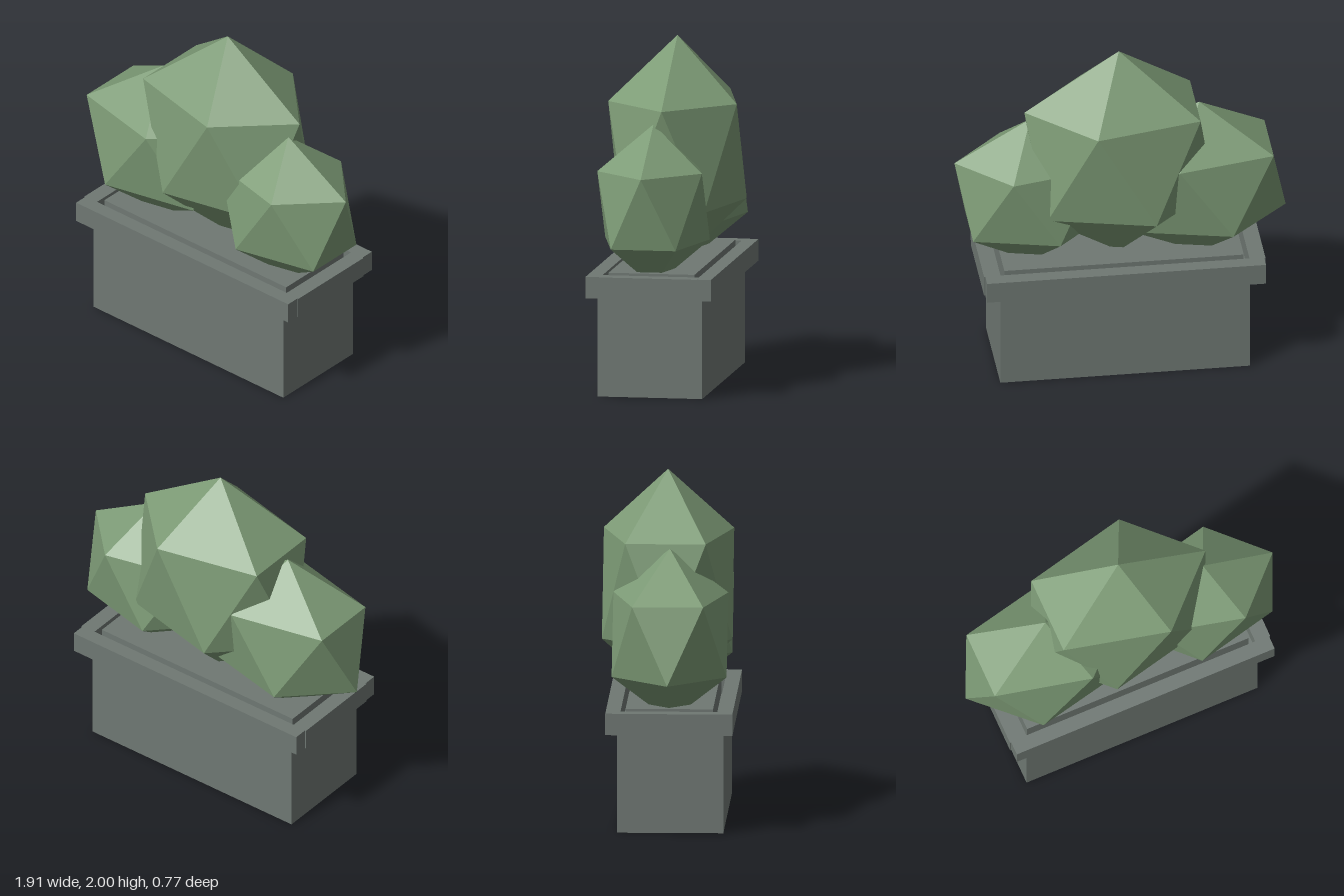
import * as THREE from 'three';

const stone = new THREE.MeshStandardMaterial({ color: 0x6f7873, flatShading: true });
const leaf = new THREE.MeshStandardMaterial({ color: 0x7d9b76, flatShading: true });

// Box given by its limits on each axis
function block(name, [x0, x1], [y0, y1], [z0, z1]) {
  const mesh = new THREE.Mesh(new THREE.BoxGeometry(x1 - x0, y1 - y0, z1 - z0), stone);
  mesh.position.set((x0 + x1) / 2, (y0 + y1) / 2, (z0 + z1) / 2);
  mesh.name = name;
  return mesh;
}

// Stretched icosahedron standing on one corner
function bush(name, centre, radii) {
  const geometry = new THREE.IcosahedronGeometry(1, 0);
  geometry.rotateZ(-Math.atan(2 / (1 + Math.sqrt(5))));
  geometry.scale(...radii);
  geometry.computeVertexNormals();
  const mesh = new THREE.Mesh(geometry, leaf);
  mesh.position.set(...centre);
  mesh.name = name;
  return mesh;
}

export function createModel() {
  const model = new THREE.Group();
  model.name = 'planter';

  // Trough and the soil slab inside the rim
  model.add(block('trough', [-0.715, 0.73], [0, 0.585], [-0.28, 0.33]));
  model.add(block('soil', [-0.685, 0.7], [0.57, 0.715], [-0.23, 0.27]));

  // Rim of four bars, the end bars standing slightly proud
  const rim = new THREE.Group();
  rim.name = 'rim';
  const rimY = [0.58, 0.705];
  rim.add(
    block('frontRim', [-0.8, 0.815], rimY, [0.3, 0.385]),
    block('backRim', [-0.8, 0.815], rimY, [-0.345, -0.26]),
    block('leftRim', [0.73, 0.822], rimY, [-0.265, 0.305]),
    block('rightRim', [-0.807, -0.715], rimY, [-0.265, 0.305])
  );
  model.add(rim);

  // Three faceted bushes
  model.add(
    bush('middleBush', [0.008, 1.335, -0.012], [0.612, 0.665, 0.44]),
    bush('rightBush', [-0.46, 1.112, 0.015], [0.56, 0.498, 0.388]),
    bush('leftBush', [0.515, 1.085, 0.04], [0.49, 0.47, 0.358])
  );
  return model;
}
